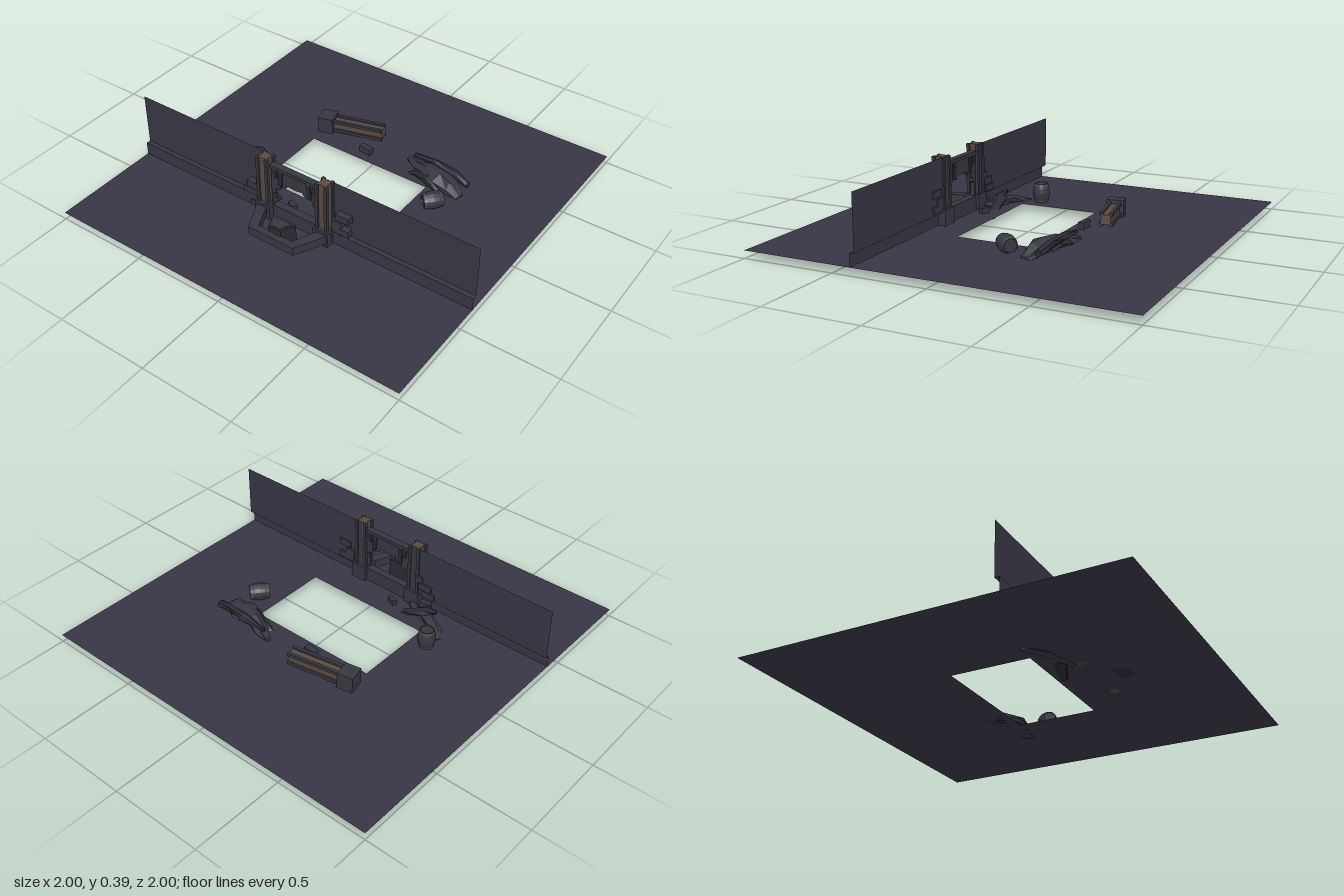
import * as THREE from 'three';

const mat = (name, color, side = THREE.FrontSide) => {
  const m = new THREE.MeshStandardMaterial({ color, side, flatShading: true });
  m.name = name;
  return m;
};

export function createModel() {
  const root = new THREE.Group();
  root.name = 'ruinedGateway';
  const ground = mat('slate ground', 0x383644, THREE.DoubleSide);
  const stone = mat('blue grey stone', 0x363741);
  const dark = mat('dark stone', 0x2b2c33);
  const brown = mat('brown wood', 0x5c4a3e);

  const add = (name, geo, material, parent = root) => {
    const m = new THREE.Mesh(geo, material);
    m.name = name;
    parent.add(m);
    return m;
  };
  const box = (name, w, h, d, x, y, z, material = stone, parent = root) => {
    const m = add(name, new THREE.BoxGeometry(w, h, d), material, parent);
    m.position.set(x, y, z);
    return m;
  };
  const shape = pts => new THREE.Shape(pts.map(p => new THREE.Vector2(p[0], p[1])));
  const rect = (x0, y0, x1, y1) => [[x0, y0], [x1, y0], [x1, y1], [x0, y1]];
  // Plan shapes are drawn with z as their second axis and raised upward
  const plan = (name, pts, y, h, material) => {
    const geo = new THREE.ExtrudeGeometry(shape(pts.map(p => [p[0], -p[1]])), { depth: h, bevelEnabled: false });
    const m = add(name, geo.rotateX(-Math.PI / 2), material);
    m.position.y = y;
    return m;
  };

  // Floor with a rectangular pit
  const FLOOR = 0.042;
  const floorShape = shape(rect(-1, -1, 1, 1));
  floorShape.holes.push(new THREE.Path(rect(-0.36, -0.21, 0.355, 0.22).map(p => new THREE.Vector2(...p))));
  add('floor', new THREE.ShapeGeometry(floorShape).rotateX(-Math.PI / 2), ground).position.y = FLOOR;
  const patch = add('forecourt', new THREE.PlaneGeometry(0.715, 0.435).rotateX(-Math.PI / 2), ground);
  patch.position.set(-0.0025, FLOOR + 0.001, 0.637);

  // Thin stepped walls on both sides of the gateway
  for (const s of [-1, 1]) {
    const w = 0.83, x = s * 0.585;
    add('wallFace', new THREE.PlaneGeometry(w, 0.285), ground).position.set(x, 0.2535, 0.375);
    add('wallFoot', new THREE.PlaneGeometry(w, 0.07), ground).position.set(x, 0.077, 0.4);
    add('wallLedge', new THREE.PlaneGeometry(w, 0.025).rotateX(-Math.PI / 2), ground).position.set(x, 0.112, 0.3875);
  }

  // Pillar: wooden core between four stone corner posts, on a square base
  const pillar = (name, height) => {
    const g = new THREE.Group();
    g.name = name;
    box('core', 0.05, height, 0.05, 0, height / 2, 0, brown, g);
    for (const sx of [-1, 1]) for (const sz of [-1, 1])
      box('cornerPost', 0.017, height, 0.017, sx * 0.0265, height / 2, sz * 0.0265, stone, g);
    box('base', 0.09, 0.085, 0.09, 0, 0.0425, 0, stone, g);
    root.add(g);
    return g;
  };
  pillar('rightPillar', 0.354).position.set(-0.18, FLOOR, 0.402);
  pillar('leftPillar', 0.354).position.set(0.175, FLOOR, 0.402);
  const fallen = pillar('fallenPillar', 0.365);
  fallen.rotation.set(0, 0.22, -Math.PI / 2 + 0.05, 'YZX');
  fallen.position.set(-0.392, 0.088, -0.332);

  // Broken panel with a ragged opening, lintel and sill
  const ragged = [
    [-0.145, 0.12], [-0.132, 0.12], [-0.135, 0.19], [-0.118, 0.2], [-0.12, 0.222], [-0.095, 0.225],
    [-0.09, 0.25], [-0.06, 0.248], [-0.05, 0.27], [0.0, 0.265], [0.04, 0.272], [0.06, 0.25],
    [0.1, 0.25], [0.105, 0.222], [0.13, 0.215], [0.138, 0.19], [0.132, 0.12], [0.145, 0.12],
    [0.145, 0.345], [-0.145, 0.345],
  ];
  add('brokenPanel', new THREE.ExtrudeGeometry(shape(ragged), { depth: 0.024, bevelEnabled: false }), stone).position.z = 0.383;
  box('lintel', 0.3, 0.018, 0.036, 0, 0.352, 0.395);
  box('sill', 0.29, 0.078, 0.04, 0, 0.081, 0.395);
  for (const s of [-1, 1]) {
    box('hangingSplinter', 0.022, 0.09, 0.036, s * 0.085, 0.3, 0.395, dark).rotation.z = s * 0.08;
    box('hangingChip', 0.018, 0.05, 0.036, s * 0.115, 0.32, 0.395, dark).rotation.z = -s * 0.1;
  }

  // Loose bricks beside the pillars: x, y, width
  for (const [x, y, w] of [[0.278, 0.222, 0.075], [0.243, 0.177, 0.055], [0.267, 0.142, 0.095],
    [-0.28, 0.138, 0.08], [-0.26, 0.177, 0.08], [-0.222, 0.215, 0.04]])
    box('brick', w, 0.036, 0.045, x, y, 0.388);

  // Angular curb in front of the gateway, in three segments
  const outer = [[-0.225, 0.42], [-0.135, 0.607], [0.135, 0.607], [0.225, 0.42]];
  const inner = [[-0.165, 0.42], [-0.1, 0.57], [0.1, 0.57], [0.165, 0.42]];
  for (let i = 0; i < 3; i++)
    plan('curb', [outer[i], outer[i + 1], inner[i + 1], inner[i]], 0.065, 0.047, stone);
  // Tapered basin block with an inset top
  plan('basinBlock', [[-0.07, 0.495], [0.07, 0.495], [0.038, 0.575], [-0.038, 0.575]], FLOOR, 0.1, dark);
  plan('basinInset', [[-0.05, 0.507], [0.05, 0.507], [0.027, 0.565], [-0.027, 0.565]], FLOOR + 0.1, 0.004, stone);

  // Barrels with wooden hoops
  const barrel = name => {
    const g = new THREE.Group();
    g.name = name;
    const pts = [[0, -0.046], [0.034, -0.046], [0.036, -0.052], [0.044, -0.025], [0.047, 0], [0.044, 0.025],
      [0.036, 0.052], [0.034, 0.046], [0, 0.046]].map(p => new THREE.Vector2(...p));
    add('staves', new THREE.LatheGeometry(pts, 14), stone, g);
    for (const y of [-0.043, 0.043]) {
      const hoop = add('hoop', new THREE.CylinderGeometry(y > 0 ? 0.039 : 0.041, y > 0 ? 0.041 : 0.039, 0.007, 14, 1, true), brown, g);
      hoop.position.y = y;
    }
    root.add(g);
    return g;
  };
  barrel('uprightBarrel').position.set(-0.45, FLOOR + 0.053, 0.14);
  const lying = barrel('lyingBarrel');
  lying.rotation.set(0, 0.86, -Math.PI / 2, 'YZX');
  lying.position.set(0.46, 0.08, -0.115);

  // Rubble: jagged loft through sections of x, y, z, half width, half height
  const rubble = (name, sections, material) => {
    const N = 6, pos = [];
    const first = sections[0], last = sections[sections.length - 1];
    const len = Math.hypot(last[0] - first[0], last[2] - first[2]);
    const px = -(last[2] - first[2]) / len, pz = (last[0] - first[0]) / len;
    const rings = sections.map(([x, y, z, w, h], s) => Array.from({ length: N }, (_, i) => {
      const a = i / N * Math.PI * 2 + 0.3, k = 1 + 0.22 * Math.sin(s * 2.7 + i * 4.1);
      const c = Math.cos(a) * w * k;
      return [x + px * c, Math.max(0, y + Math.sin(a) * h * k), z + pz * c];
    }));
    const tri = (a, b, c) => pos.push(...a, ...b, ...c);
    for (let i = 0; i < N; i++) {
      const j = (i + 1) % N;
      for (let s = 0; s < rings.length - 1; s++) {
        const A = rings[s], B = rings[s + 1];
        tri(A[i], B[i], A[j]);
        tri(B[i], B[j], A[j]);
      }
      const E = rings[rings.length - 1];
      tri(first.slice(0, 3), rings[0][i], rings[0][j]);
      tri(last.slice(0, 3), E[j], E[i]);
    }
    const geo = new THREE.BufferGeometry();
    geo.setAttribute('position', new THREE.Float32BufferAttribute(pos, 3));
    geo.computeVertexNormals();
    add(name, geo, material);
  };
  rubble('frontRubble', [[-0.47, 0.04, 0.215, 0.014, 0.008], [-0.43, 0.047, 0.255, 0.03, 0.016],
    [-0.36, 0.055, 0.295, 0.04, 0.022], [-0.28, 0.05, 0.325, 0.03, 0.02], [-0.19, 0.05, 0.355, 0.018, 0.014]], stone);
  rubble('tiltedSlab', [[-0.375, 0.1, 0.32, 0.012, 0.008], [-0.3, 0.08, 0.32, 0.035, 0.016],
    [-0.22, 0.045, 0.3, 0.035, 0.018], [-0.13, 0.012, 0.28, 0.016, 0.012]], dark);
  rubble('backRubble', [[0.165, 0.06, -0.36, 0.014, 0.012], [0.23, 0.06, -0.33, 0.032, 0.026],
    [0.31, 0.075, -0.305, 0.05, 0.036], [0.41, 0.08, -0.285, 0.06, 0.042],
    [0.48, 0.065, -0.265, 0.055, 0.036], [0.54, 0.042, -0.25, 0.025, 0.014]], stone);
  rubble('backShard', [[0.19, 0.022, -0.275, 0.014, 0.008], [0.26, 0.05, -0.285, 0.025, 0.02],
    [0.35, 0.075, -0.25, 0.028, 0.024], [0.44, 0.05, -0.215, 0.016, 0.014]], dark);
  rubble('backRidge', [[0.2, 0.1, -0.355, 0.012, 0.012], [0.34, 0.11, -0.35, 0.02, 0.02],
    [0.45, 0.1, -0.335, 0.022, 0.024], [0.545, 0.08, -0.32, 0.018, 0.02]], dark);

  // Scattered small stones
  box('smallStone', 0.07, 0.035, 0.032, -0.06, FLOOR + 0.02, -0.285).rotation.y = -0.1;
  box('smallStone', 0.05, 0.03, 0.025, -0.1, FLOOR + 0.015, 0.305).rotation.y = -0.4;
  box('smallStone', 0.06, 0.03, 0.03, -0.26, FLOOR + 0.02, 0.385).rotation.y = 0.2;
  return root;
}
